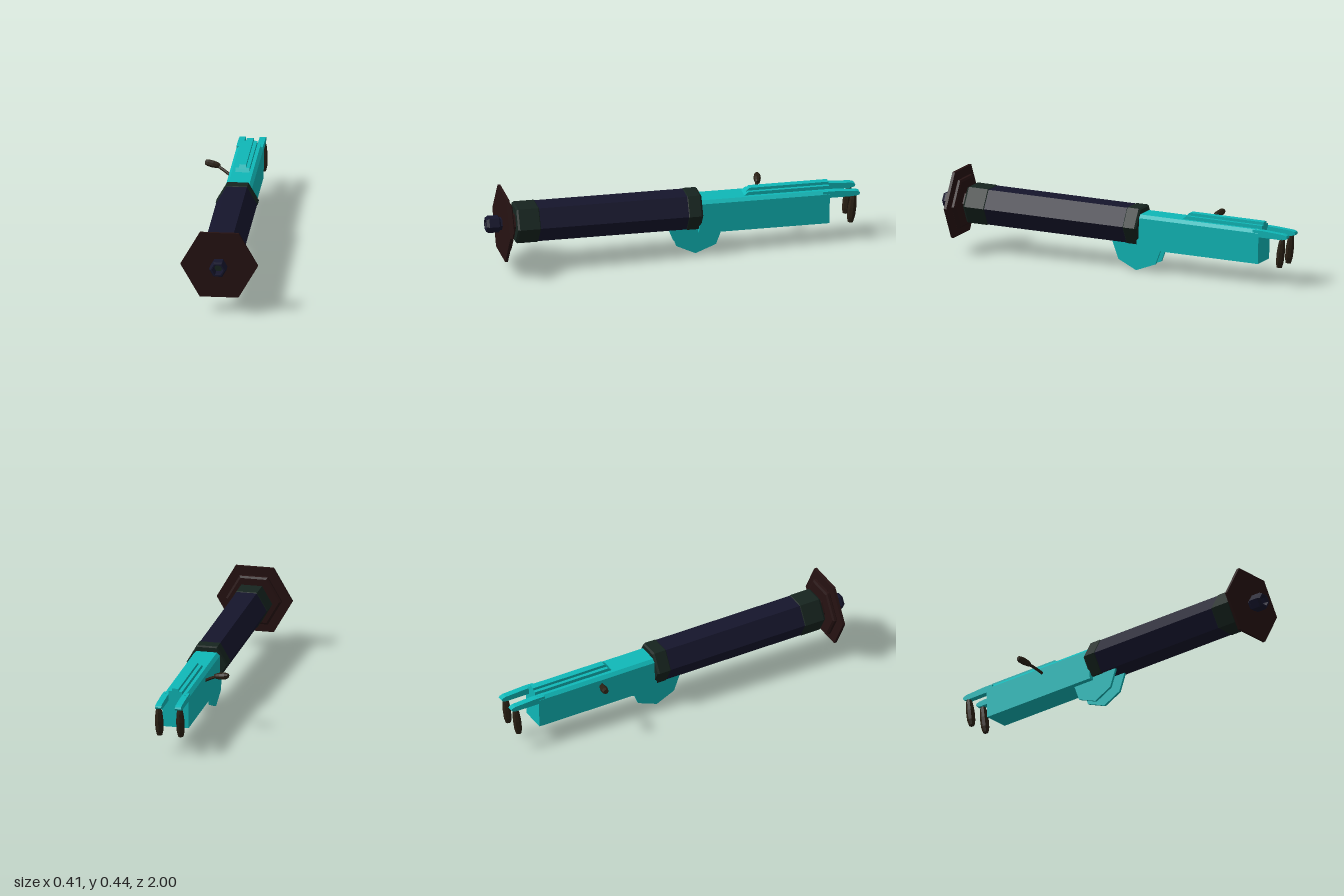
import * as THREE from 'three';

const mat = (color) => new THREE.MeshStandardMaterial({ color, flatShading: true });
const TEAL = mat(0x0fb8b8), NAVY = mat(0x15152c), GREEN = mat(0x16241f);
const MAROON = mat(0x261212), BROWN = mat(0x2a2014);

export function createModel() {
  const model = new THREE.Group();
  // Everything lies along one axis, tilted slightly muzzle-up
  const body = new THREE.Group();
  body.name = 'body';
  body.position.y = 0.242;
  body.rotation.x = -0.0213;
  model.add(body);

  const add = (name, geometry, material, parent = body) => {
    const mesh = new THREE.Mesh(geometry, material);
    mesh.name = name;
    parent.add(mesh);
    return mesh;
  };
  // Six-sided turned part along z; profile is [radius, z] from back to front
  const hex = (name, material, profile) => {
    const pts = profile.map(([r, z]) => new THREE.Vector2(r, z));
    const g = new THREE.LatheGeometry(pts, 6, Math.PI / 2);
    return add(name, g.rotateX(Math.PI / 2), material);
  };
  // Plate with a side outline of [z, y] points and a width across x
  const plate = (name, outline, width, x = 0) => {
    const shape = new THREE.Shape(outline.map(([z, y]) => new THREE.Vector2(z, y)));
    const g = new THREE.ExtrudeGeometry(shape, { depth: width, bevelEnabled: false });
    g.translate(0, 0, -width / 2).rotateY(-Math.PI / 2).translate(x, 0, 0);
    return add(name, g, TEAL);
  };
  // Swollen grip centred on its own y axis
  const grip = (name, radius, length, parent) => {
    const pts = [[0, -0.5], [0.65, -0.5], [0.95, -0.3], [1, 0.05], [0.8, 0.35], [0.55, 0.5], [0, 0.5]]
      .map(([r, y]) => new THREE.Vector2(r * radius, y * length));
    return add(name, new THREE.LatheGeometry(pts, 8), BROWN, parent);
  };

  // Barrel jacket with end bands
  hex('barrelJacket', NAVY, [[0, -0.13], [0.108, -0.13], [0.108, 0.84], [0, 0.84]]);
  hex('rearBand', GREEN, [[0, -0.148], [0.104, -0.148], [0.111, -0.138], [0.111, -0.075], [0.107, -0.07]]);
  hex('frontBand', GREEN, [[0.107, 0.725], [0.111, 0.73], [0.111, 0.838], [0.104, 0.848], [0, 0.848]]);

  // Stepped flange and its neck
  hex('flangeNeck', MAROON, [[0.06, 0.84], [0.06, 0.88]]);
  hex('flangeCollar', MAROON, [[0, 0.873], [0.138, 0.873], [0.15, 0.88], [0.15, 0.893], [0.138, 0.9]]);
  hex('flange', MAROON, [[0, 0.899], [0.204, 0.899], [0.204, 0.914], [0, 0.914]]);

  // Hollow muzzle
  hex('muzzle', NAVY, [[0.034, 0.91], [0.034, 0.923], [0.046, 0.932], [0.046, 0.985],
    [0.038, 0.999], [0.03, 0.999], [0.025, 0.985], [0.025, 0.945]]);
  hex('muzzleBore', GREEN, [[0.027, 0.945], [0, 0.945]]);

  // Receiver: box section with chamfered top edges
  const section = new THREE.Shape([[-0.071, -0.114], [0.071, -0.114], [0.071, 0.05],
    [0.055, 0.067], [-0.055, 0.067], [-0.071, 0.05]].map(([x, y]) => new THREE.Vector2(x, y)));
  const receiver = new THREE.ExtrudeGeometry(section, { depth: 0.7, bevelEnabled: false });
  add('receiver', receiver.translate(0, 0, -0.836), TEAL);

  // Raised top rail with a sloping front and a narrow ridge
  plate('topRail', [[-0.84, 0.06], [-0.375, 0.06], [-0.405, 0.085], [-0.84, 0.085]], 0.074);
  plate('railRidge', [[-0.84, 0.08], [-0.395, 0.08], [-0.415, 0.1], [-0.84, 0.1]], 0.036);

  for (const [side, s] of [['left', 1], ['right', -1]]) {
    // Mounting fin underneath
    plate(side + 'MountFin', [[0.015, -0.09], [0.012, -0.105], [-0.022, -0.19], [-0.125, -0.239],
      [-0.235, -0.195], [-0.265, -0.11], [-0.265, -0.09]], 0.012, s * 0.037);
    // Rear arm and the grip hanging from it
    plate(side + 'RearArm', [[-0.8, 0.03], [-0.8, 0.066], [-0.86, 0.066], [-0.975, 0.059], [-0.994, 0.053],
      [-0.999, 0.045], [-0.994, 0.036], [-0.97, 0.03]], 0.033, s * 0.053);
    const handle = grip(side + 'RearGrip', 0.023, 0.155, body);
    handle.position.set(s * 0.057, -0.043, -0.96);
    handle.rotation.x = -0.1;
  }

  // Crank on the right side: bent arm and grip
  const crank = new THREE.Group();
  crank.name = 'crank';
  body.add(crank);
  const path = new THREE.CatmullRomCurve3([[-0.06, 0.015, -0.455], [-0.1, 0.04, -0.475], [-0.14, 0.06, -0.494]]
    .map((p) => new THREE.Vector3(...p)));
  add('crankArm', new THREE.TubeGeometry(path, 4, 0.008, 6), BROWN, crank);
  const knob = grip('crankGrip', 0.019, 0.08, crank);
  knob.position.set(-0.166, 0.067, -0.501);
  knob.quaternion.setFromUnitVectors(new THREE.Vector3(0, 1, 0), new THREE.Vector3(0.95, -0.18, 0.18).normalize());

  return model;
}
